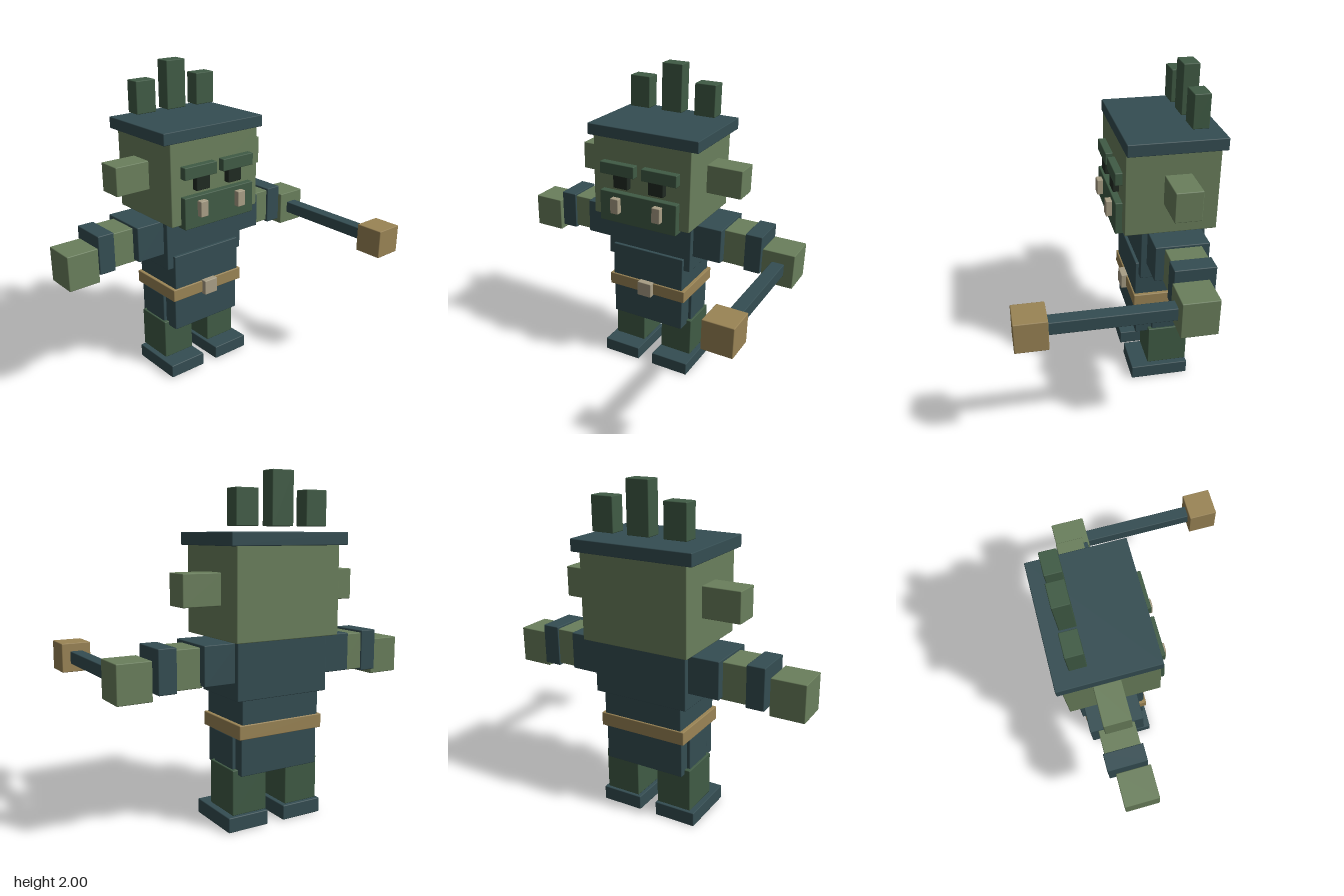
import * as THREE from 'three';
import { RoundedBoxGeometry } from 'three/addons/geometries/RoundedBoxGeometry.js';

const paint = (name, color) => {
  const m = new THREE.MeshStandardMaterial({ color });
  m.name = name;
  return m;
};

export function createModel() {
  const model = new THREE.Group();
  model.name = 'blockyGoblin';
  const skin = paint('skin green', 0x6a7f5c);
  const moss = paint('dark green', 0x405b45);
  const cloth = paint('slate cloth', 0x344d52);
  const tan = paint('tan leather', 0x9a8455);
  const bone = paint('bone', 0xa89e85);
  const black = paint('eye black', 0x202a22);

  // Box with slightly softened edges, given by its [min, max] on each axis
  const block = (name, material, [x0, x1], [y0, y1], [z0, z1], parent = model) => {
    const w = x1 - x0, h = y1 - y0, d = z1 - z0;
    const mesh = new THREE.Mesh(new RoundedBoxGeometry(w, h, d, 1, 0.005), material);
    mesh.position.set((x0 + x1) / 2, (y0 + y1) / 2, (z0 + z1) / 2);
    mesh.name = name;
    parent.add(mesh);
  };
  // The same block on both sides of the body
  const pair = (name, material, [x0, x1], y, z) => {
    block('left' + name, material, [x0, x1], y, z);
    block('right' + name, material, [-x1, -x0], y, z);
  };

  // Head and cap
  block('head', skin, [-0.335, 0.335], [1.09, 1.61], [-0.61, -0.06]);
  block('cap', cloth, [-0.378, 0.378], [1.597, 1.67], [-0.632, -0.058]);
  pair('Ear', skin, [0.32, 0.563], [1.275, 1.455], [-0.443, -0.285]);

  // Hair tufts
  block('middleTuft', moss, [-0.07, 0.07], [1.7, 2], [-0.537, -0.44]);
  pair('Tuft', moss, [0.157, 0.296], [1.7, 1.9], [-0.537, -0.44]);

  // Face
  pair('Brow', moss, [0.025, 0.265], [1.38, 1.457], [-0.08, -0.015]);
  pair('Eye', black, [0.072, 0.174], [1.297, 1.385], [-0.08, -0.022]);
  block('muzzle', moss, [-0.267, 0.267], [1.07, 1.27], [-0.09, -0.018]);
  pair('Tusk', bone, [0.117, 0.174], [1.14, 1.24], [-0.03, 0.018]);

  // Body
  block('chest', cloth, [-0.297, 0.297], [0.763, 1.09], [-0.556, -0.17]);
  block('belly', cloth, [-0.255, 0.255], [0.6, 0.847], [-0.537, -0.15]);
  block('belt', tan, [-0.277, 0.277], [0.543, 0.625], [-0.545, -0.14]);
  block('buckle', bone, [-0.05, 0.05], [0.533, 0.632], [-0.15, -0.107]);
  block('skirt', cloth, [-0.255, 0.255], [0.328, 0.56], [-0.527, -0.16]);
  pair('SkirtPanel', cloth, [0.24, 0.276], [0.33, 0.545], [-0.465, -0.262]);

  // Legs
  pair('Leg', moss, [0.067, 0.288], [0.095, 0.358], [-0.49, -0.238]);
  pair('Foot', cloth, [0.054, 0.315], [0, 0.087], [-0.495, -0.13]);

  // Arms
  pair('Shoulder', cloth, [0.28, 0.484], [0.86, 1.082], [-0.527, -0.207]);
  pair('Forearm', skin, [0.47, 0.63], [0.848, 1.067], [-0.48, -0.262]);
  pair('Cuff', cloth, [0.623, 0.73], [0.835, 1.08], [-0.488, -0.248]);
  pair('Hand', skin, [0.742, 0.943], [0.797, 1.015], [-0.445, -0.235]);

  // Hammer held forward in the left hand
  const hammer = new THREE.Group();
  hammer.name = 'hammer';
  model.add(hammer);
  block('hammerHandle', cloth, [0.803, 0.882], [0.87, 0.947], [-0.26, 0.47], hammer);
  block('hammerHead', tan, [0.754, 0.935], [0.818, 0.997], [0.452, 0.632], hammer);

  return model;
}
